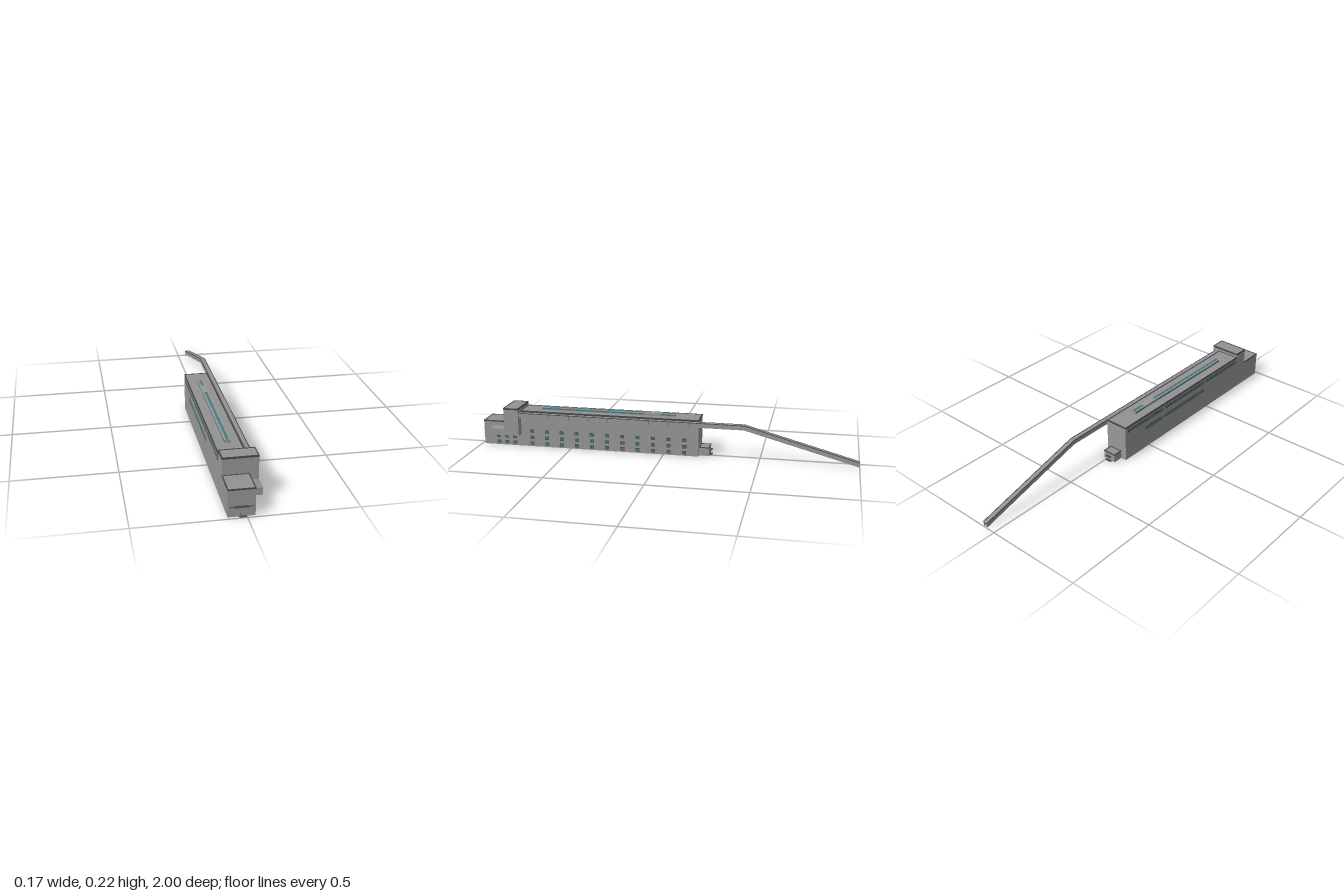
import * as THREE from 'three';

const mat = (name, color) => {
  const m = new THREE.MeshStandardMaterial({ color });
  m.name = name;
  return m;
};

export function createModel() {
  const wall = mat('concrete grey', 0x999999);
  const roof = mat('roof grey', 0x929292);
  const dark = mat('dark trim', 0x4a4a4a);
  const glass = mat('teal glass', 0x4a7c80);
  const model = new THREE.Group();
  model.name = 'factoryHall';

  // Box given by its limits on each axis
  function box(name, material, [x0, x1], [y0, y1], [z0, z1], parent = model) {
    const mesh = new THREE.Mesh(new THREE.BoxGeometry(x1 - x0, y1 - y0, z1 - z0), material);
    mesh.position.set((x0 + x1) / 2, (y0 + y1) / 2, (z0 + z1) / 2);
    mesh.name = name;
    parent.add(mesh);
    return mesh;
  }

  // Walled block with a dark parapet around a slightly sunken roof
  function block(name, [x0, x1], [y0, y1], [z0, z1], band) {
    const g = new THREE.Group();
    g.name = name;
    model.add(g);
    const t = 0.004, e = 0.001;
    box('walls', wall, [x0, x1], [y0, y1 - band], [z0, z1], g);
    box('roof', roof, [x0 + t, x1 - t], [y1 - band, y1 - 0.002], [z0 + t, z1 - t], g);
    const by = [y1 - band, y1];
    box('parapet', dark, [x0 - e, x0 + t], by, [z0 - e, z1 + e], g);
    box('parapet', dark, [x1 - t, x1 + e], by, [z0 - e, z1 + e], g);
    box('parapet', dark, [x0 + t, x1 - t], by, [z0 - e, z0 + t], g);
    box('parapet', dark, [x0 + t, x1 - t], by, [z1 - t, z1 + e], g);
  }

  // Profile in (z, y) extruded along x
  function profile(name, material, pts, x0, x1, parent) {
    const shape = new THREE.Shape(pts.map(([z, y]) => new THREE.Vector2(-z, y)));
    const geo = new THREE.ExtrudeGeometry(shape, { depth: x1 - x0, bevelEnabled: false });
    geo.rotateY(Math.PI / 2);
    geo.translate(x0, 0, 0);
    const mesh = new THREE.Mesh(geo, material);
    mesh.name = name;
    parent.add(mesh);
  }

  const W = -0.084, E = 0.038;

  // Main volumes
  block('mainHall', [W, E], [0, 0.195], [-0.185, 0.775], 0.008);
  block('frontBlock', [W, E], [0, 0.132], [0.855, 0.985], 0.006);
  box('towerBase', wall, [W, E], [0, 0.066], [0.775, 0.855]);
  block('tower', [W, 0.08], [0.066, 0.215], [0.775, 0.855], 0.008);

  // Overhanging side bay with a sloping roof
  const bayShape = new THREE.Shape([[E, 0.066], [0.08, 0.066], [0.08, 0.097], [E, 0.104]]
    .map(p => new THREE.Vector2(...p)));
  const bay = new THREE.Mesh(new THREE.ExtrudeGeometry(bayShape, { depth: 0.08, bevelEnabled: false }), wall);
  bay.position.z = 0.855;
  bay.name = 'sideBay';
  model.add(bay);
  const bayRoof = box('sideBayRoof', roof, [E, 0.082], [0.0995, 0.102], [0.855, 0.937]);
  bayRoof.rotation.z = -0.165;

  // Roof skylight
  box('skylight', wall, [-0.036, -0.006], [0.193, 0.207], [-0.052, 0.67]);
  for (const z of [[-0.05, 0.02], [0.11, 0.668]]) {
    box('skylightGlass', glass, [-0.027, -0.014], [0.206, 0.2085], z);
    box('skylightSideGlass', glass, [-0.037, -0.005], [0.198, 0.204], z);
  }

  // Punched windows on the east wall
  function eastWindow(y, z) {
    box('windowFrame', dark, [E, E + 0.001], [y - 0.009, y + 0.009], [z - 0.011, z + 0.011]);
    for (const s of [-1, 1])
      box('windowPane', glass, [E, E + 0.0018], [y - 0.006, y + 0.006],
        [z + s * 0.005 - 0.0035, z + s * 0.005 + 0.0035]);
  }
  for (let i = 0; i < 11; i++)
    for (const y of [0.017, 0.049, 0.084]) eastWindow(y, 0.715 - i * 0.0825);
  for (const z of [0.905, 0.858, 0.813])
    for (const y of [0.017, 0.049]) eastWindow(y, z);

  // Ribbon windows on the west wall
  function ribbon(y, z0, z1) {
    box('ribbonFrame', dark, [W - 0.001, W], [y - 0.009, y + 0.009], [z0, z1]);
    const n = Math.round((z1 - z0) / 0.045), step = (z1 - z0) / n;
    for (let i = 0; i < n; i++)
      box('ribbonPane', glass, [W - 0.0018, W], [y - 0.006, y + 0.006],
        [z0 + i * step + 0.003, z0 + (i + 1) * step - 0.003]);
  }
  ribbon(0.168, -0.167, 0.105);
  ribbon(0.168, 0.13, 0.47);
  ribbon(0.168, 0.485, 0.765);
  ribbon(0.118, -0.03, 0.107);
  ribbon(0.118, 0.125, 0.47);

  // Front entrance: canopies, step and door joint
  box('entranceCanopy', dark, [-0.054, 0.006], [0.049, 0.052], [0.985, 1]);
  box('sideCanopy', dark, [-0.076, -0.054], [0.046, 0.048], [0.985, 0.99]);
  box('sideCanopy', dark, [0.006, 0.03], [0.046, 0.048], [0.985, 0.99]);
  box('entranceStep', dark, [-0.034, -0.002], [0, 0.003], [0.985, 0.995]);
  box('doorJoint', dark, [-0.028, -0.026], [0.003, 0.016], [0.985, 0.986]);

  // Rear annex
  block('rearAnnex', [-0.053, 0.016], [0, 0.045], [-0.237, -0.185], 0.004);
  box('rearCanopy', dark, [-0.034, -0.002], [0.024, 0.027], [-0.25, -0.237]);
  box('rearStep', dark, [-0.034, -0.002], [0, 0.004], [-0.25, -0.237]);

  // Conveyor gallery: hollow duct, level along the hall then sloping to the ground
  const gallery = new THREE.Group();
  gallery.name = 'conveyorGallery';
  model.add(gallery);
  const path = [[0.775, 0.164], [-0.42, 0.164], [-1, 0.006]];
  const h = 0.024, t = 0.002;
  const strip = (lo, hi) => [
    ...path.map(([z, y]) => [z, y + lo]),
    ...path.map(([z, y]) => [z, y + hi]).reverse(),
  ];
  const gx0 = 0.044, gx1 = 0.067;
  profile('gallerySide', wall, strip(0, h), gx0, gx0 + t, gallery);
  profile('gallerySide', wall, strip(0, h), gx1 - t, gx1, gallery);
  profile('galleryFloor', wall, strip(0, t), gx0 + t, gx1 - t, gallery);
  profile('galleryRoof', roof, strip(h - t, h), gx0 + t, gx1 - t, gallery);
  for (const x of [gx0, gx1])
    profile('galleryEdge', dark, strip(h - 0.002, h + 0.001), x - 0.002, x + 0.002, gallery);
  for (let i = 0; i < 9; i++) {
    const z = 0.715 - i * 0.107;
    box('galleryJoint', dark, [gx1, gx1 + 0.0008], [0.165, 0.186], [z - 0.001, z + 0.001], gallery);
    box('galleryBracket', dark, [E, gx0], [0.164, 0.168], [z - 0.003, z + 0.003], gallery);
  }
  return model;
}
